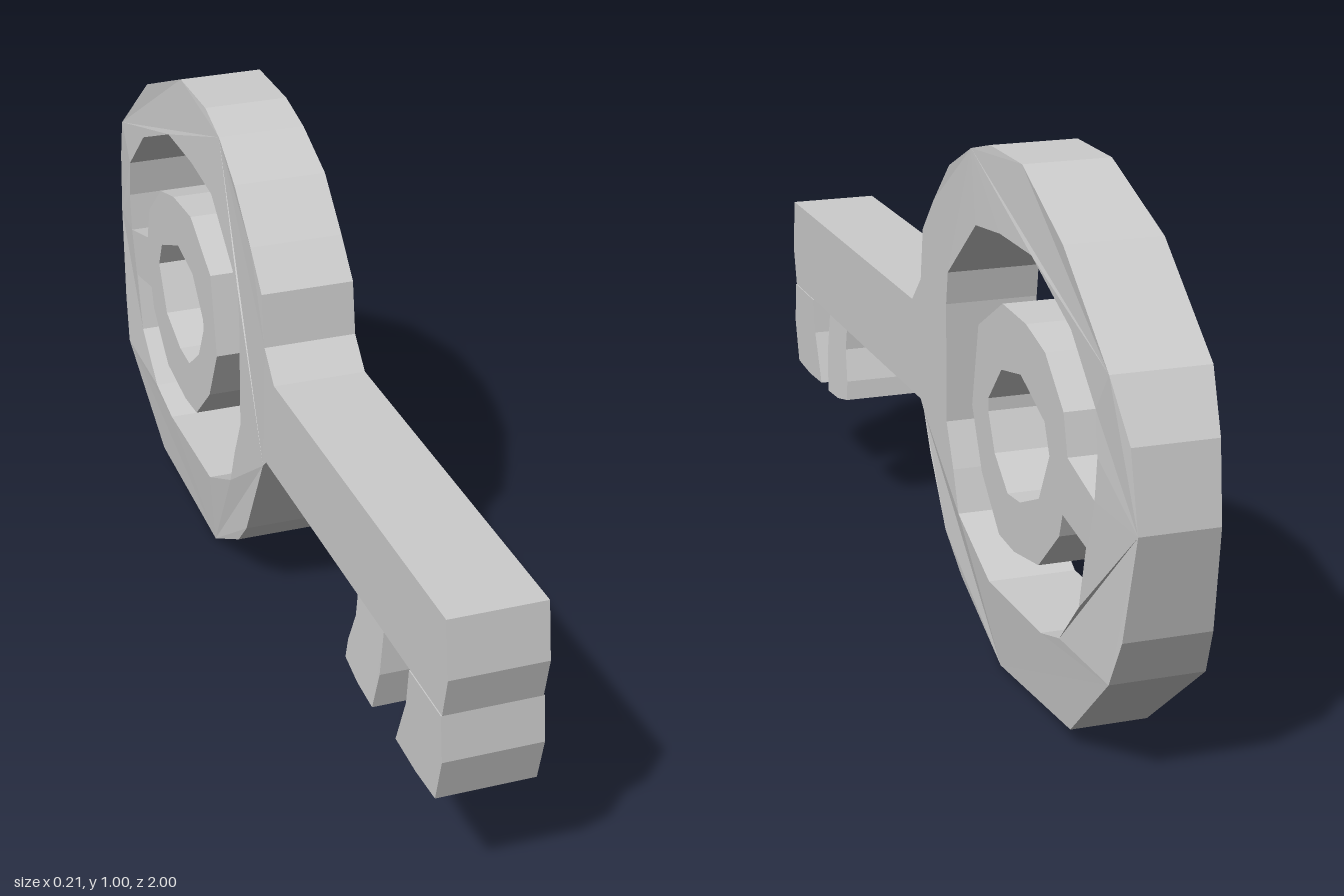
import * as THREE from 'three';

const metal = new THREE.MeshStandardMaterial({ color: 0xcccccc, flatShading: true });
metal.name = 'greyMetal';

const clamp = THREE.MathUtils.clamp;
const toPoints = (list) => list.map(([z, y]) => new THREE.Vector2(z, y));

// Half thickness: slimmer at the very top, bottom and back of the bow.
function bowHalf(z, y) {
  const low = 0.022 * clamp((0.22 - y) / 0.22, 0, 1);
  const high = 0.008 * clamp((y - 0.93) / 0.07, 0, 1);
  const back = 0.018 * clamp((-0.91 - z) / 0.09, 0, 1);
  return 0.092 - low - high - back;
}

// Side profile given as [z, y] points, thickened along x by a rule.
function plate(name, outline, holes = [], half = bowHalf) {
  const shape = new THREE.Shape(toPoints(outline));
  for (const hole of holes) shape.holes.push(new THREE.Path(toPoints(hole)));
  const geometry = new THREE.ExtrudeGeometry(shape, { depth: 2, bevelEnabled: false });
  geometry.translate(0, 0, -1).rotateY(-Math.PI / 2);
  const p = geometry.attributes.position;
  for (let i = 0; i < p.count; i++) {
    p.setX(i, Math.sign(p.getX(i)) * half(p.getZ(i), p.getY(i)));
  }
  geometry.computeVertexNormals();
  const mesh = new THREE.Mesh(geometry, metal);
  mesh.name = name;
  return mesh;
}

export function createModel() {
  const key = new THREE.Group();
  key.name = 'key';

  // Big uneven ring that serves as the handle
  const bowOutline = [
    [0.12, 0.6], [0.065, 0.655], [0.05, 0.76], [-0.015, 0.83], [-0.11, 0.92], [-0.22, 0.975],
    [-0.315, 1], [-0.48, 1], [-0.7, 0.91], [-0.91, 0.745], [-0.975, 0.64], [-1, 0.495],
    [-0.96, 0.295], [-0.92, 0.205], [-0.71, 0.03], [-0.34, 0], [-0.145, 0.11], [-0.07, 0.18],
    [0.01, 0.315], [0.05, 0.39], [0.07, 0.408],
  ];
  const bowHole = [
    [-0.855, 0.51], [-0.865, 0.59], [-0.855, 0.67], [-0.74, 0.775], [-0.55, 0.855],
    [-0.39, 0.855], [-0.26, 0.84], [-0.1, 0.71], [-0.09, 0.645], [-0.09, 0.41],
    [-0.13, 0.325], [-0.16, 0.245], [-0.32, 0.165], [-0.595, 0.17], [-0.695, 0.2],
    [-0.79, 0.295], [-0.82, 0.415],
  ];
  key.add(plate('bow', bowOutline, [bowHole]));

  // Small ring inside the bow
  const ringOutline = [
    [-0.71, 0.435], [-0.695, 0.39], [-0.595, 0.3], [-0.47, 0.28], [-0.39, 0.285],
    [-0.295, 0.375], [-0.24, 0.49], [-0.275, 0.655], [-0.405, 0.73], [-0.525, 0.725],
    [-0.62, 0.7], [-0.71, 0.62], [-0.73, 0.545],
  ];
  const ringHole = [
    [-0.645, 0.52], [-0.62, 0.575], [-0.5, 0.625], [-0.4, 0.605], [-0.33, 0.53],
    [-0.33, 0.505], [-0.365, 0.435], [-0.435, 0.38], [-0.5, 0.385], [-0.595, 0.425],
  ];
  key.add(plate('innerRing', ringOutline, [ringHole]));

  // Bridge joining the small ring to the back of the bow
  key.add(plate('bridge', [[-0.73, 0.545], [-0.855, 0.51], [-0.82, 0.415], [-0.71, 0.435]]));

  // Straight shaft with a slightly kinked tip
  key.add(plate('shaft', [
    [0.12, 0.6], [0.07, 0.408], [0.58, 0.408], [0.71, 0.408], [0.835, 0.408],
    [0.98, 0.408], [1, 0.49], [0.985, 0.6],
  ]));

  // Two teeth below the tip; the inner one flares wider
  key.add(plate('frontTooth', [
    [0.98, 0.408], [0.835, 0.408], [0.825, 0.335], [0.78, 0.23], [0.875, 0.225],
    [0.965, 0.23], [0.99, 0.32],
  ], [], () => 0.094));
  key.add(plate('rearTooth', [
    [0.71, 0.408], [0.58, 0.408], [0.58, 0.365], [0.555, 0.3], [0.55, 0.26],
    [0.615, 0.245], [0.69, 0.24], [0.71, 0.32],
  ], [], (z, y) => 0.092 + 0.012 * clamp((0.408 - y) / 0.16, 0, 1)));

  return key;
}
